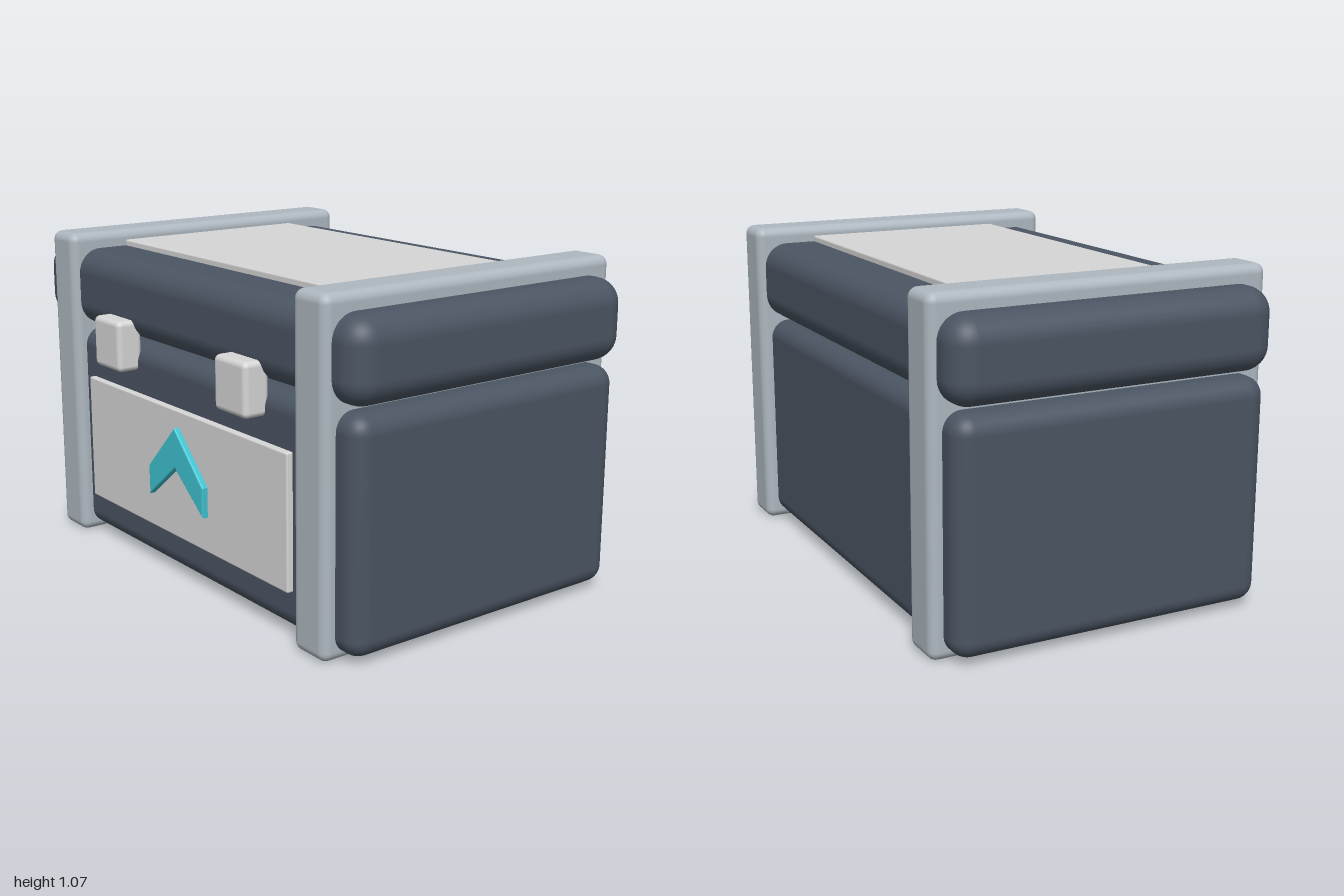
import * as THREE from 'three';
import { RoundedBoxGeometry } from 'three/addons/geometries/RoundedBoxGeometry.js';

const mat = (name, color) => {
  const m = new THREE.MeshStandardMaterial({ color });
  m.name = name;
  return m;
};

export function createModel() {
  const slate = mat('slate', 0x4b5563);
  const silver = mat('silver', 0xaeb8c0);
  const paleGrey = mat('pale grey', 0xd6d6d6);
  const teal = mat('teal', 0x3fc3d2);

  const crate = new THREE.Group();
  crate.name = 'crate';

  const add = (name, geometry, material, x, y, z) => {
    const mesh = new THREE.Mesh(geometry, material);
    mesh.name = name;
    mesh.position.set(x, y, z);
    crate.add(mesh);
  };
  const rounded = (w, h, d, r) => new RoundedBoxGeometry(w, h, d, 5, r);

  // Main box and the slightly larger lid, with a thin gap between them
  add('body', rounded(1.732, 0.72, 1.048, 0.06), slate, 0, 0.38, 0);
  add('lid', rounded(1.764, 0.26, 1.078, 0.08), slate, 0, 0.885, 0);

  // Plates on the top and front
  add('topPlate', rounded(1.26, 0.04, 0.71, 0.006), paleGrey, 0, 1.015, 0);
  add('frontPlate', rounded(1.156, 0.43, 0.04, 0.006), paleGrey, 0, 0.365, 0.525);

  // Bands and latches, mirrored left and right
  for (const [side, s] of [['right', -1], ['left', 1]]) {
    add(side + 'Band', rounded(0.15, 1.07, 1.13, 0.03), silver, s * 0.702, 0.535, 0);
    add(side + 'Latch', rounded(0.164, 0.17, 0.09, 0.018), paleGrey, s * 0.361, 0.74, 0.55);
  }

  // Raised chevron on the front plate
  const points = [[0, 0.52], [-0.155, 0.365], [-0.155, 0.275], [0, 0.4], [0.155, 0.275], [0.155, 0.365]];
  const shape = new THREE.Shape(points.map(([x, y]) => new THREE.Vector2(x, y)));
  const chevron = new THREE.ExtrudeGeometry(shape, {
    depth: 0.02, bevelSize: 0.005, bevelThickness: 0.005, bevelSegments: 2,
  });
  add('chevron', chevron, teal, 0, 0, 0.54);

  // The whole crate stands turned about its upright axis
  crate.rotation.y = -0.416;
  const model = new THREE.Group();
  model.name = 'model';
  model.add(crate);
  return model;
}
